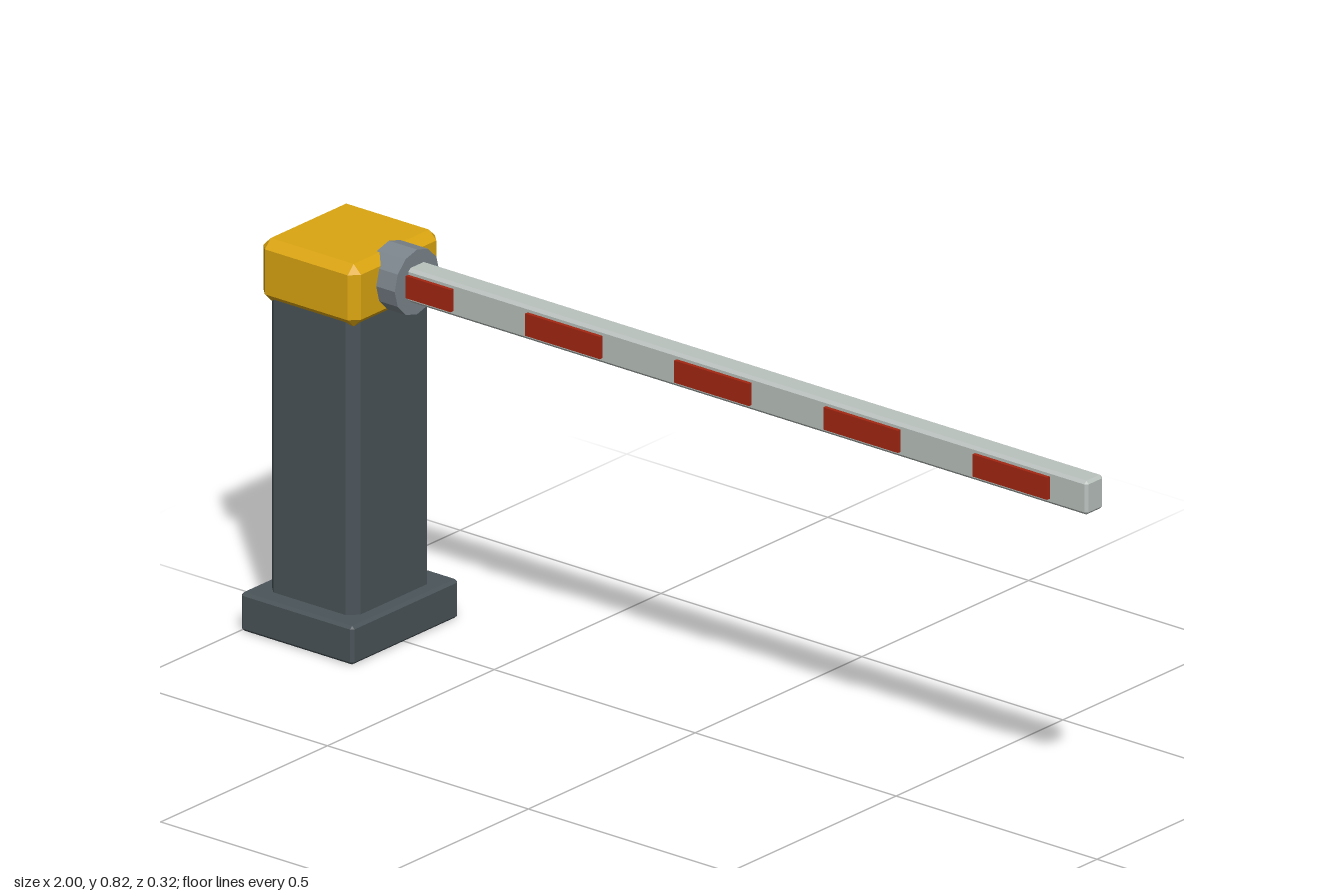
import * as THREE from 'three';
import { ConvexGeometry } from 'three/addons/geometries/ConvexGeometry.js';

// Box between two corners with flat chamfers of width c on every edge
function chamferBox(min, max, c) {
  const mid = min.map((v, i) => (v + max[i]) / 2);
  const half = min.map((v, i) => (max[i] - v) / 2);
  const points = [];
  for (const sx of [-1, 1]) for (const sy of [-1, 1]) for (const sz of [-1, 1]) {
    for (let full = 0; full < 3; full++) {
      const h = half.map((v, i) => (i === full ? v : v - c));
      points.push(new THREE.Vector3(sx * h[0], sy * h[1], sz * h[2]));
    }
  }
  return new ConvexGeometry(points).translate(...mid);
}

export function createModel() {
  const group = new THREE.Group();
  const material = (name, color) => {
    const m = new THREE.MeshStandardMaterial({ color });
    m.name = name;
    return m;
  };
  const darkGrey = material('dark grey', 0x4a5459);
  const yellow = material('yellow', 0xdba510);
  const steel = material('steel grey', 0x7c858c);
  const paleGrey = material('pale grey', 0xbac2be);
  const red = material('red', 0xa32612);

  const add = (name, geometry, mat) => {
    const mesh = new THREE.Mesh(geometry, mat);
    mesh.name = name;
    group.add(mesh);
  };

  // Cabinet: foot, column and cap
  add('base', chamferBox([-1, 0, -0.16], [-0.72, 0.08, 0.16], 0.006), darkGrey);
  add('column', chamferBox([-0.97, 0.05, -0.12], [-0.75, 0.71, 0.12], 0.02), darkGrey);
  add('head', chamferBox([-0.98, 0.679, -0.131], [-0.738, 0.808, 0.131], 0.018), yellow);

  // Twelve-sided pivot hub, lying along x
  const armY = 0.752;
  const hub = new THREE.CylinderGeometry(0.067, 0.067, 0.07, 12).toNonIndexed();
  hub.computeVertexNormals();
  hub.rotateZ(-Math.PI / 2).translate(-0.727, armY, 0);
  add('pivotHub', hub, steel);

  // Barrier arm
  add('arm', chamferBox([-0.75, armY - 0.035, -0.026], [0.996, armY + 0.035, 0.026], 0.006), paleGrey);

  // Warning stripes on the front of the arm
  for (let i = 0; i < 5; i++) {
    const stripe = new THREE.BoxGeometry(0.186, 0.046, 0.009);
    stripe.translate(-0.673 + i * 0.371, armY, 0.0295);
    add('stripe' + (i + 1), stripe, red);
  }
  return group;
}
